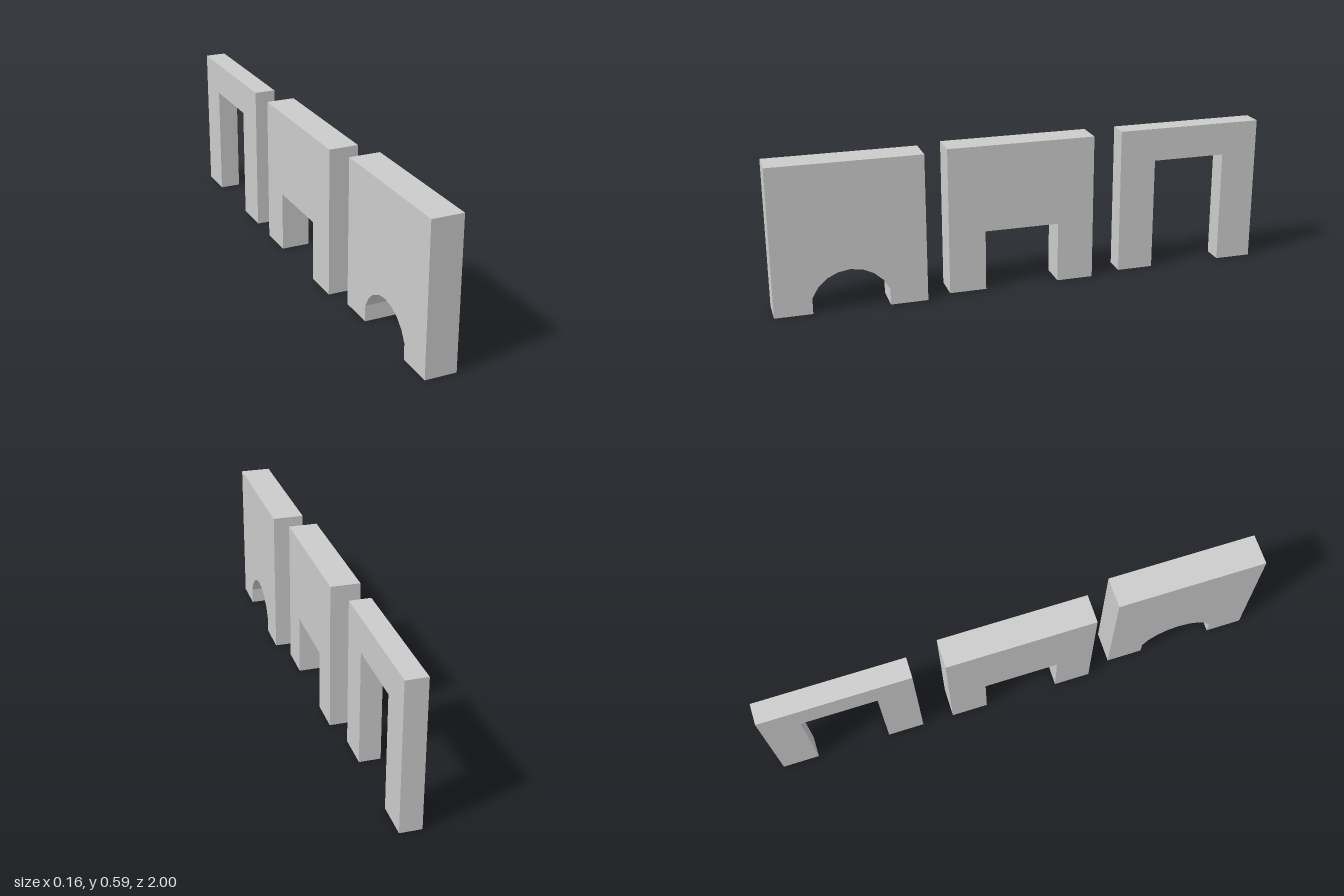
import * as THREE from 'three';

const HEIGHT = 0.59, HALF = 0.296, OPEN = 0.149;

// Square wall panel with a notch cut up from its foot, extruded along x
function wall(name, { z, xMin, xMax, spring, rise = 0 }, material) {
  const s = new THREE.Shape();
  s.moveTo(-HALF, 0);
  s.lineTo(-OPEN, 0);
  s.lineTo(-OPEN, spring);
  if (rise > 0) {
    // Faceted segmental arch
    const r = (OPEN * OPEN + rise * rise) / (2 * rise);
    const start = Math.asin(OPEN / r), n = 8;
    for (let i = 1; i < n; i++) {
      const a = start * (2 * i / n - 1);
      s.lineTo(r * Math.sin(a), spring + rise - r + r * Math.cos(a));
    }
  }
  s.lineTo(OPEN, spring);
  s.lineTo(OPEN, 0);
  s.lineTo(HALF, 0);
  s.lineTo(HALF, HEIGHT);
  s.lineTo(-HALF, HEIGHT);
  s.closePath();

  const geometry = new THREE.ExtrudeGeometry(s, { depth: xMax - xMin, bevelEnabled: false });
  geometry.rotateY(-Math.PI / 2);
  const mesh = new THREE.Mesh(geometry, material);
  mesh.name = name;
  mesh.position.set(xMax, 0, z);
  return mesh;
}

export function createModel() {
  const group = new THREE.Group();
  group.name = 'wallPanels';
  const material = new THREE.MeshStandardMaterial({ color: 0xcccccc, flatShading: true });
  group.add(
    // Low arched opening
    wall('archedWall', { z: 0.704, xMin: -0.046, xMax: 0.077, spring: 0.064, rise: 0.101 }, material),
    // Medium square opening
    wall('windowWall', { z: 0.015, xMin: -0.078, xMax: 0.037, spring: 0.243 }, material),
    // Tall doorway
    wall('doorwayWall', { z: -0.704, xMin: -0.078, xMax: 0.006, spring: 0.457 }, material),
  );
  return group;
}
